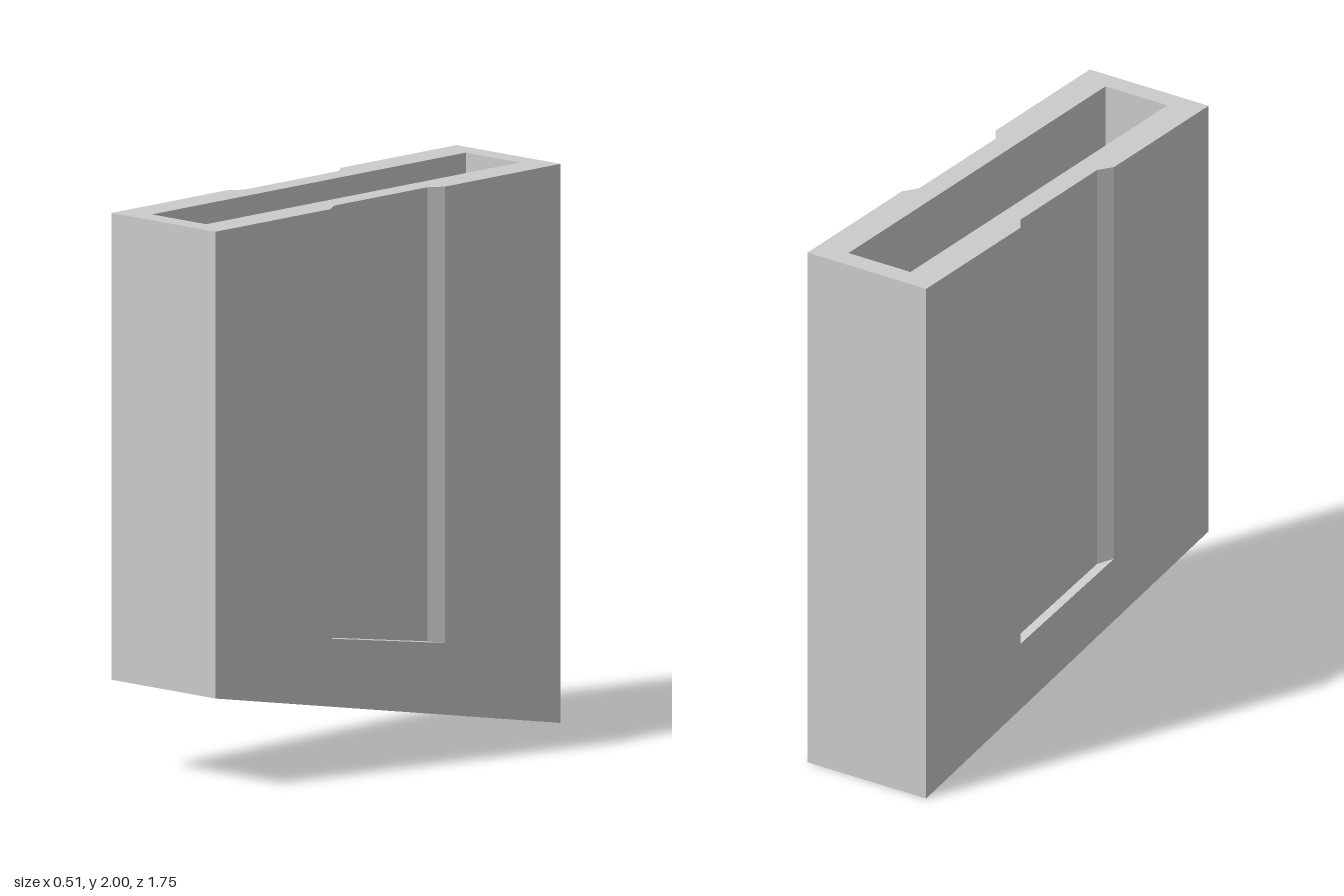
import * as THREE from 'three';

const W = 0.253, D = 0.876, TOP = 2;            // half width, half depth, height
const WELL_W = 0.132, WELL_D = 0.797;           // half size of the open well
const GROOVE_X = 0.217, GROOVE_OUT = 0.29, GROOVE_IN = 0.237;

// Height of each level as a function of z
const topY = () => TOP;
const baseY = z => 0.165 * (1 + z / D);
const ledgeY = z => 0.415 + 0.165 * z;
const floorY = z => baseY(z) + 0.12;

const material = new THREE.MeshStandardMaterial({ color: 0xcccccc, flatShading: true });

// Outlines are counter-clockwise seen from above, as (x, -z)
const points = list => list.map(([x, y]) => new THREE.Vector2(x, y));
const rectangle = (w, d) => points([[-w, -d], [w, -d], [w, d], [-w, d]]);

function addMesh(group, name, geometry) {
  const mesh = new THREE.Mesh(geometry, material);
  mesh.name = name;
  group.add(mesh);
}

// Upright wall along a closed outline between two levels
function wall(outline, low, high) {
  const position = [];
  outline.forEach((a, i) => {
    const b = outline[(i + 1) % outline.length];
    const al = [a.x, low(-a.y), -a.y], ah = [a.x, high(-a.y), -a.y];
    const bl = [b.x, low(-b.y), -b.y], bh = [b.x, high(-b.y), -b.y];
    position.push(...al, ...bl, ...bh, ...al, ...bh, ...ah);
  });
  const geometry = new THREE.BufferGeometry();
  geometry.setAttribute('position', new THREE.Float32BufferAttribute(position, 3));
  geometry.computeVertexNormals();
  return geometry;
}

// Flat or sloping face filling an outline at one level
function cap(outline, level, { hole, down = false } = {}) {
  const shape = new THREE.Shape(outline);
  if (hole) shape.holes.push(new THREE.Path(hole));
  const geometry = new THREE.ShapeGeometry(shape).rotateX(-Math.PI / 2);
  const p = geometry.attributes.position;
  for (let i = 0; i < p.count; i++) p.setY(i, level(p.getZ(i)));
  if (down) geometry.index.array.reverse();
  geometry.computeVertexNormals();
  return geometry;
}

export function createModel() {
  const model = new THREE.Group();
  model.name = 'hollowBlock';

  const outer = rectangle(W, D);
  const well = rectangle(WELL_W, WELL_D);
  const wellInward = [...well].reverse();

  // Right-hand groove section, and the same turned half round for the other side
  const groove = [[W, -GROOVE_OUT], [GROOVE_X, -GROOVE_IN], [GROOVE_X, GROOVE_IN], [W, GROOVE_OUT]];
  const opposite = groove.map(([x, y]) => [-x, -y]);
  const grooved = points([[-W, -D], [W, -D], ...groove, [W, D], [-W, D], ...opposite]);

  // Outside: plain below the groove ledges, grooved above
  addMesh(model, 'lowerWalls', wall(outer, baseY, ledgeY));
  addMesh(model, 'upperWalls', wall(grooved, ledgeY, topY));
  addMesh(model, 'slopingBase', cap(outer, baseY, { down: true }));
  addMesh(model, 'topRim', cap(grooved, topY, { hole: wellInward }));

  // Sloping ledge at the foot of each groove
  addMesh(model, 'leftGrooveLedge', cap(points(groove), ledgeY));
  addMesh(model, 'rightGrooveLedge', cap(points(opposite), ledgeY));

  // Open well
  addMesh(model, 'wellWalls', wall(wellInward, floorY, topY));
  addMesh(model, 'wellFloor', cap(well, floorY));

  return model;
}
